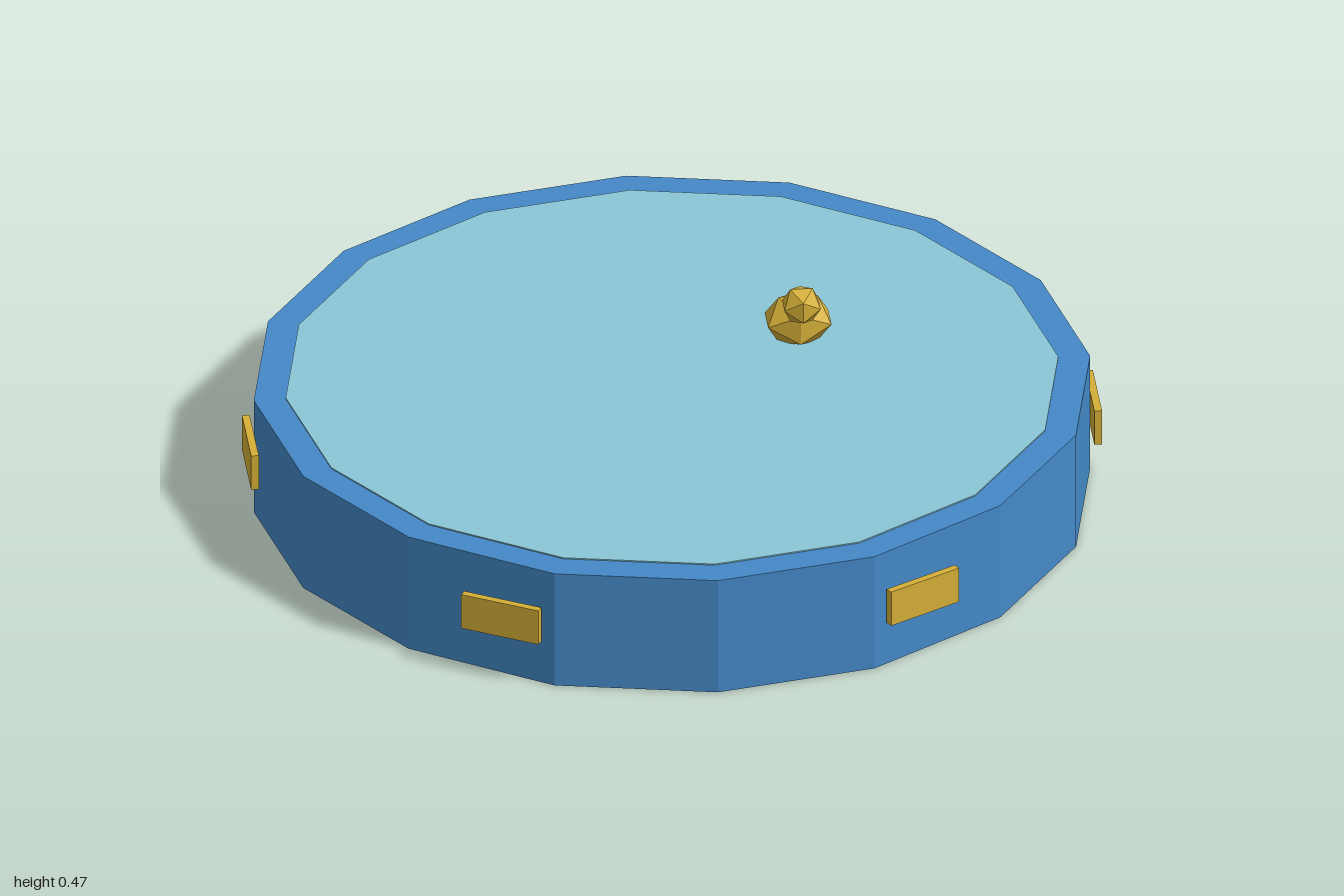
import * as THREE from 'three';

const flat = (name, color) => {
  const m = new THREE.MeshStandardMaterial({ color, flatShading: true });
  m.name = name;
  return m;
};

export function createModel() {
  const blue = flat('poolBlue', 0x4488c6);
  const aqua = flat('waterAqua', 0x8ac6d6);
  const gold = flat('gold', 0xd4af37);

  const model = new THREE.Group();
  model.name = 'pool';
  const add = (parent, name, geometry, material, x, y, z) => {
    const mesh = new THREE.Mesh(geometry, material);
    mesh.name = name;
    mesh.position.set(x, y, z);
    parent.add(mesh);
    return mesh;
  };

  // Sixteen-sided tub, with the water standing just proud of the rim
  const SIDES = 16, HEIGHT = 0.298;
  add(model, 'tub', new THREE.CylinderGeometry(0.983, 0.983, HEIGHT, SIDES), blue, 0, HEIGHT / 2, 0);
  add(model, 'water', new THREE.CylinderGeometry(0.908, 0.908, 0.02, SIDES), aqua, 0, 0.291, 0);

  // Six plaques spaced evenly around the wall
  const plaqueGeometry = new THREE.BoxGeometry(0.018, 0.09, 0.197);
  for (let i = 0; i < 6; i++) {
    const a = (i * Math.PI) / 3;
    const plaque = add(model, 'plaque', plaqueGeometry, gold, 0.991 * Math.cos(a), 0.16, 0.991 * Math.sin(a));
    plaque.rotation.y = -a;
  }

  // Floating toy: a stretched body and a small head towards the front
  const toy = new THREE.Group();
  toy.name = 'floatingToy';
  toy.position.set(0.314, 0.35, -0.16);
  model.add(toy);
  const body = add(toy, 'toyBody', new THREE.IcosahedronGeometry(0.07, 0), gold, 0, 0, 0);
  body.scale.set(1.25, 1, 1);
  add(toy, 'toyHead', new THREE.IcosahedronGeometry(0.05, 0), gold, 0, 0.076, 0.071);

  return model;
}
